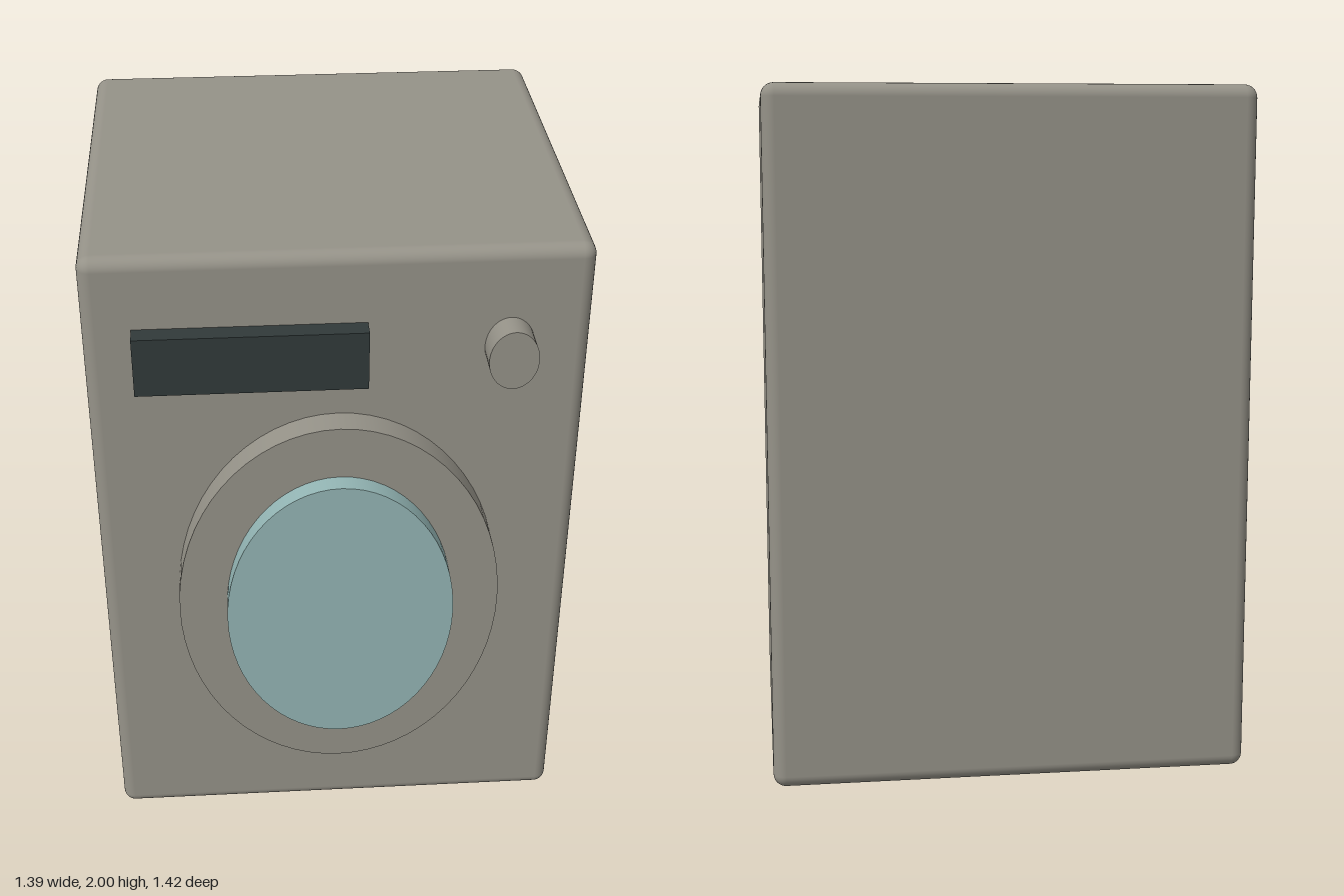
import * as THREE from 'three';
import { RoundedBoxGeometry } from 'three/addons/geometries/RoundedBoxGeometry.js';

const material = (name, color) => {
  const m = new THREE.MeshStandardMaterial({ color });
  m.name = name;
  return m;
};

export function createModel() {
  const group = new THREE.Group();
  group.name = 'washingMachine';

  const enamel = material('warm grey enamel', 0x959288);
  const glass = material('pale teal glass', 0x93b5b4);
  const dark = material('dark display', 0x313a3a);

  const add = (name, geometry, mat, x, y, z) => {
    const mesh = new THREE.Mesh(geometry, mat);
    mesh.name = name;
    mesh.position.set(x, y, z);
    group.add(mesh);
    return mesh;
  };

  // Elliptical disc facing the front, spanning z0 to z1
  const disc = (name, mat, x, y, rx, ry, z0, z1) => {
    const geometry = new THREE.CylinderGeometry(1, 1, z1 - z0, 64);
    geometry.rotateX(Math.PI / 2).scale(rx, ry, 1);
    add(name, geometry, mat, x, y, (z0 + z1) / 2);
  };

  // Cabinet with softly rounded edges
  add('cabinet', new RoundedBoxGeometry(1.39, 2, 1.285, 4, 0.037), enamel, 0, 1, -0.07);

  // Round door with its raised window
  disc('doorRing', enamel, 0, 0.883, 0.472, 0.618, 0.56, 0.655);
  disc('doorGlass', glass, 0, 0.883, 0.332, 0.457, 0.64, 0.712);

  // Controls
  add('displayPanel', new THREE.BoxGeometry(0.64, 0.176, 0.07), dark, -0.24, 1.702, 0.595);
  disc('dialKnob', enamel, 0.472, 1.702, 0.069, 0.089, 0.56, 0.655);

  return group;
}
